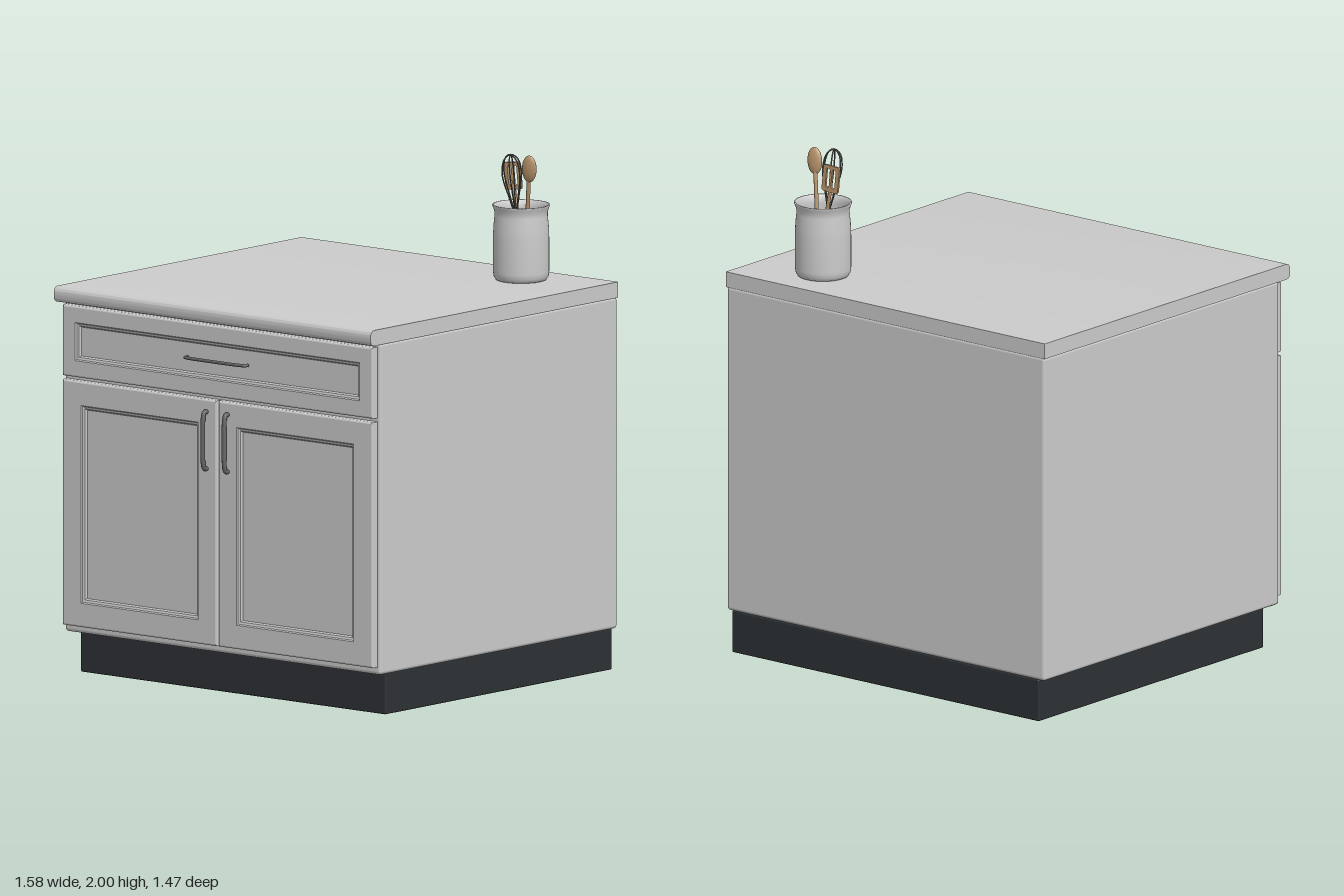
import * as THREE from 'three';
import { toCreasedNormals } from 'three/addons/utils/BufferGeometryUtils.js';
import { RoundedBoxGeometry } from 'three/addons/geometries/RoundedBoxGeometry.js';

const mat = (color, side = THREE.FrontSide) => new THREE.MeshStandardMaterial({ color, side });
const grey = mat(0xcccccc);
const dark = mat(0x2e3134);
const metal = mat(0x666666);
const wood = mat(0xb8946c);
const V = (x, y, z) => new THREE.Vector3(x, y, z);

function add(parent, name, geometry, material) {
  const mesh = new THREE.Mesh(geometry, material);
  mesh.name = name;
  parent.add(mesh);
  return mesh;
}

// Rounded box given by its lower and upper corners
function block(parent, name, lo, hi, radius, material) {
  const s = hi.clone().sub(lo);
  const mesh = add(parent, name, new RoundedBoxGeometry(s.x, s.y, s.z, 3, radius), material);
  mesh.position.copy(lo).add(hi).multiplyScalar(0.5);
  return mesh;
}

// Panelled front: nested rectangles, each an inset from the edge and a depth
function panelGeometry(w, h, steps) {
  const corners = [[-1, -1], [1, -1], [1, 1], [-1, 1]];
  const loops = steps.map(([inset, z]) =>
    corners.map(([sx, sy]) => [sx * (w / 2 - inset), sy * (h / 2 - inset), z]));
  const pos = [];
  const quad = (a, b, c, d) => pos.push(...a, ...b, ...c, ...a, ...c, ...d);
  for (let i = 0; i + 1 < loops.length; i++) {
    for (let k = 0; k < 4; k++) {
      const n = (k + 1) % 4;
      quad(loops[i][k], loops[i][n], loops[i + 1][n], loops[i + 1][k]);
    }
  }
  quad(...loops[loops.length - 1]);
  quad(...[...loops[0]].reverse());
  const g = new THREE.BufferGeometry();
  g.setAttribute('position', new THREE.Float32BufferAttribute(pos, 3));
  g.computeVertexNormals();
  return g;
}

function panel(parent, name, x0, x1, y0, y1, border) {
  const steps = [[0, 0], [0, 0.028], [0.003, 0.033], [0.007, 0.035],
    [border, 0.035], [border + 0.004, 0.029], [border + 0.013, 0.026],
    [border + 0.018, 0.018], [border + 0.022, 0.018]];
  const mesh = add(parent, name, panelGeometry(x1 - x0, y1 - y0, steps), grey);
  mesh.position.set((x0 + x1) / 2, (y0 + y1) / 2, 0.67);
}

// Bowed pull, upright by default
function pull(parent, name, half, radius, x, y) {
  const path = new THREE.CatmullRomCurve3([
    V(0, -half, -0.003), V(0, -half, 0.013), V(0, -half * 0.85, 0.02), V(0, 0, 0.023),
    V(0, half * 0.85, 0.02), V(0, half, 0.013), V(0, half, -0.003)]);
  const mesh = add(parent, name, new THREE.TubeGeometry(path, 40, radius, 10), metal);
  mesh.position.set(x, y, 0.705);
  return mesh;
}

function rod(parent, name, a, b, r0, r1, material) {
  const d = b.clone().sub(a);
  const mesh = add(parent, name, new THREE.CylinderGeometry(r1, r0, d.length(), 12), material);
  mesh.position.copy(a).add(b).multiplyScalar(0.5);
  mesh.quaternion.setFromUnitVectors(V(0, 1, 0), d.normalize());
  return mesh;
}

function countertop(parent) {
  const r = 0.022, f = 0.735, b = -0.735, y0 = 1.446, y1 = 1.507;
  const s = new THREE.Shape();
  s.moveTo(b, y0);
  s.lineTo(f - r, y0);
  s.absarc(f - r, y0 + r, r, -Math.PI / 2, 0);
  s.absarc(f - r, y1 - r, r, 0, Math.PI / 2);
  s.lineTo(b, y1);
  s.closePath();
  const g = new THREE.ExtrudeGeometry(s, { depth: 1.584, bevelEnabled: false, curveSegments: 8 });
  g.rotateY(-Math.PI / 2).translate(0.792, 0, 0);
  add(parent, 'countertop', toCreasedNormals(g, 0.6), grey);
}

function crock(parent) {
  const outline = [[0, 0], [0.088, 0], [0.098, 0.004], [0.105, 0.016], [0.108, 0.035],
    [0.108, 0.16], [0.106, 0.21], [0.102, 0.25], [0.102, 0.265], [0.107, 0.282], [0.111, 0.29],
    [0.11, 0.294], [0.105, 0.294], [0.098, 0.28], [0.094, 0.26], [0.098, 0.2], [0.098, 0.04],
    [0.09, 0.02], [0, 0.02]].map(([x, y]) => new THREE.Vector2(x, y));
  const mesh = add(parent, 'utensilCrock', new THREE.LatheGeometry(outline, 48), mat(0xcccccc, THREE.DoubleSide));
  mesh.position.set(0.475, 1.506, -0.535);
}

function spoon(parent) {
  const g = new THREE.Group();
  g.name = 'woodenSpoon';
  rod(g, 'spoonHandle', V(0.475, 1.535, -0.56), V(0.53, 1.91, -0.515), 0.008, 0.008, wood);
  const bowl = add(g, 'spoonBowl', new THREE.SphereGeometry(1, 24, 16), wood);
  bowl.scale.set(0.031, 0.053, 0.015);
  bowl.position.set(0.536, 1.946, -0.511);
  bowl.rotation.set(0.1, 0.2, -0.1);
  parent.add(g);
}

function spatula(parent) {
  const g = new THREE.Group();
  g.name = 'slottedSpatula';
  rod(g, 'spatulaHandle', V(0.5, 1.535, -0.535), V(0.426, 1.86, -0.55), 0.008, 0.007, wood);
  const w = 0.037, h = 0.106, c = 0.012;
  const s = new THREE.Shape();
  s.moveTo(-w + c, 0);
  s.lineTo(w - c, 0);
  s.quadraticCurveTo(w, 0, w, c);
  s.lineTo(w, h - c);
  s.quadraticCurveTo(w, h, w - c, h);
  s.lineTo(-w + c, h);
  s.quadraticCurveTo(-w, h, -w, h - c);
  s.lineTo(-w, c);
  s.quadraticCurveTo(-w, 0, -w + c, 0);
  for (const x of [-0.013, 0.013]) {
    const hole = new THREE.Path();
    hole.absarc(x, 0.085, 0.008, 0, Math.PI);
    hole.absarc(x, 0.025, 0.008, Math.PI, Math.PI * 2);
    hole.closePath();
    s.holes.push(hole);
  }
  const blade = add(g, 'spatulaBlade', new THREE.ExtrudeGeometry(s,
    { depth: 0.01, bevelEnabled: false, curveSegments: 6 }), wood);
  blade.position.set(0.426, 1.85, -0.557);
  blade.rotation.set(0, 0.1, 0.1);
  parent.add(g);
}

function whisk(parent) {
  const g = new THREE.Group();
  g.name = 'whisk';
  rod(g, 'whiskHandle', V(0, -0.235, 0), V(0, 0.01, 0), 0.01, 0.009, metal);
  const side = [[0.006, 0], [0.02, 0.06], [0.036, 0.125], [0.039, 0.165], [0.027, 0.21]];
  const points = [...side.map(([x, y]) => V(x, y, 0)), V(0, 0.228, 0),
    ...side.map(([x, y]) => V(-x, y, 0)).reverse()];
  const loop = new THREE.TubeGeometry(new THREE.CatmullRomCurve3(points), 40, 0.0028, 6);
  for (let i = 0; i < 3; i++) {
    add(g, 'whiskWire', loop, metal).rotation.y = i * Math.PI / 3;
  }
  g.position.set(0.466, 1.773, -0.512);
  g.rotation.x = 0.14;
  parent.add(g);
}

export function createModel() {
  const model = new THREE.Group();
  model.name = 'kitchenCabinet';

  // Carcass and recessed base
  block(model, 'toeKick', V(-0.762, 0, -0.735), V(0.762, 0.166, 0.612), 0.006, dark);
  block(model, 'cabinetBody', V(-0.79, 0.163, -0.735), V(0.79, 1.45, 0.675), 0.014, grey);
  countertop(model);

  // Drawer and pair of doors
  panel(model, 'drawerFront', -0.775, 0.775, 1.16, 1.436, 0.064);
  pull(model, 'drawerPull', 0.15, 0.0065, 0, 1.3).rotation.z = Math.PI / 2;
  for (const s of [-1, 1]) {
    const name = s > 0 ? 'left' : 'right';
    const xs = [s * 0.003, s * 0.775].sort((a, b) => a - b);
    panel(model, name + 'Door', xs[0], xs[1], 0.193, 1.146, 0.093);
    pull(model, name + 'DoorPull', 0.11, 0.009, s * 0.053, 0.988);
  }

  // Crock of utensils
  crock(model);
  spoon(model);
  spatula(model);
  whisk(model);
  return model;
}
